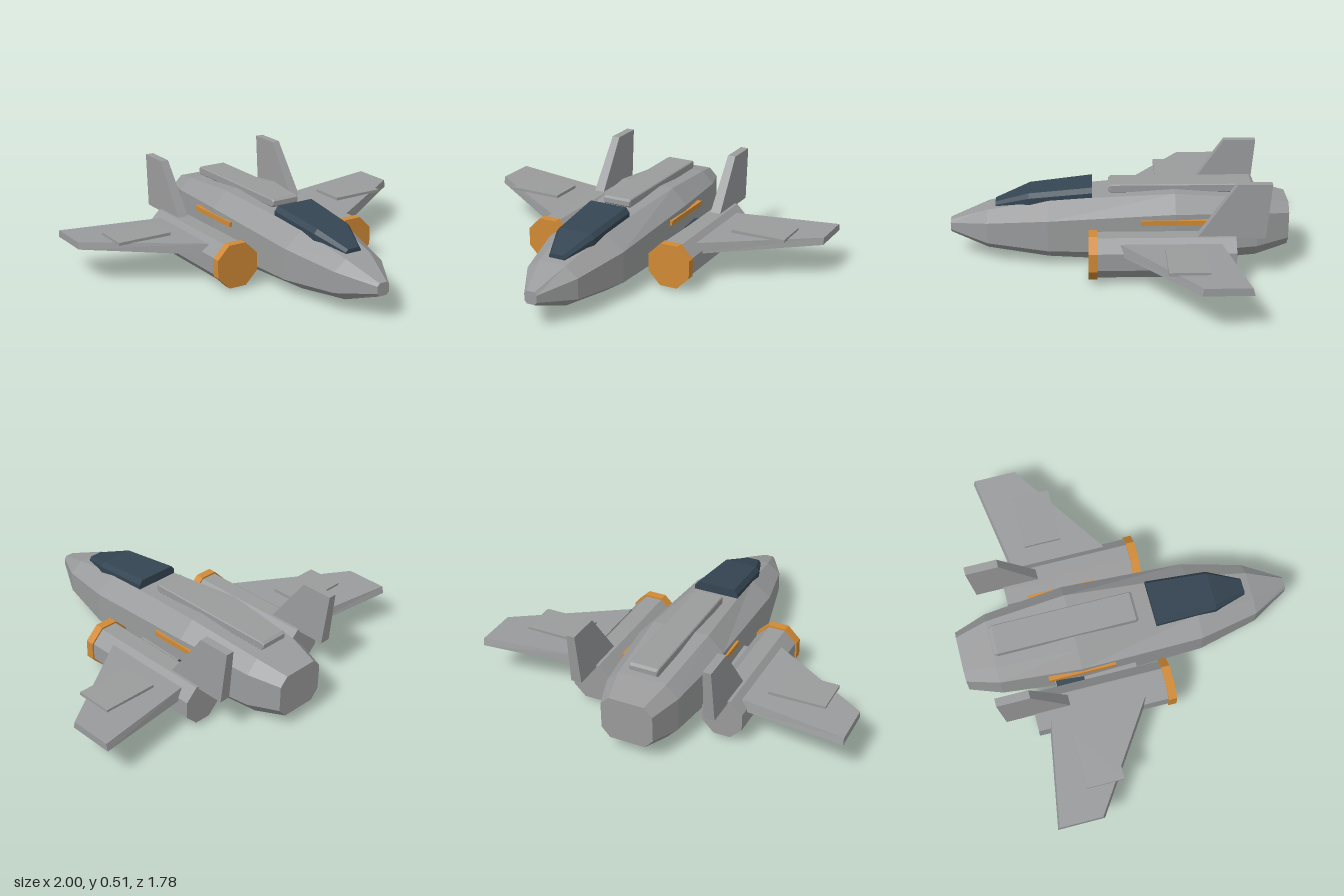
import * as THREE from 'three';

const mat = (name, color) => {
  const m = new THREE.MeshStandardMaterial({ color });
  m.name = name;
  return m;
};

// Flat-shaded skin over rings of [x, y, z]; rings run counter-clockwise seen from outside the first one
function loft(rings) {
  const pos = [];
  const tri = (a, b, c) => pos.push(...a, ...b, ...c);
  const n = rings[0].length;
  for (let r = 0; r < rings.length - 1; r++) {
    const A = rings[r], B = rings[r + 1];
    for (let i = 0; i < n; i++) {
      const j = (i + 1) % n;
      tri(A[i], B[i], B[j]);
      tri(A[i], B[j], A[j]);
    }
  }
  const first = rings[0], last = rings[rings.length - 1];
  for (let i = 1; i < n - 1; i++) {
    tri(first[0], first[i], first[i + 1]);
    tri(last[0], last[i + 1], last[i]);
  }
  const g = new THREE.BufferGeometry();
  g.setAttribute('position', new THREE.Float32BufferAttribute(pos, 3));
  g.computeVertexNormals();
  return g;
}

// Chamfered section: half width w, flat half width t, heights from bottom to top
const section = ([z, w, t, y0, y1, y2, y3]) => [
  [t, y0, z], [w, y1, z], [w, y2, z], [t, y3, z],
  [-t, y3, z], [-w, y2, z], [-w, y1, z], [-t, y0, z],
];

// Mirror a ring to the given side, keeping its winding
const onSide = (s, ring) => (s > 0 ? ring : ring.map(([x, y, z]) => [-x, y, z]).reverse());

export function createModel() {
  const model = new THREE.Group();
  const hull = mat('hullGrey', 0x9a9b9c);
  const orange = mat('orangeTrim', 0xd08a36);
  const glass = mat('canopyGlass', 0x344552);

  const add = (name, geometry, material, x = 0, y = 0, z = 0) => {
    const mesh = new THREE.Mesh(geometry, material);
    mesh.name = name;
    mesh.position.set(x, y, z);
    model.add(mesh);
    return mesh;
  };
  const box = (name, material, w, h, d, x, y, z) =>
    add(name, new THREE.BoxGeometry(w, h, d), material, x, y, z);
  // Octagonal barrel along z with flat top and sides
  const barrel = (name, material, apothem, z0, z1, x, y) => {
    const r = apothem / Math.cos(Math.PI / 8);
    const g = new THREE.CylinderGeometry(r, r, z1 - z0, 8).rotateY(Math.PI / 8).rotateX(Math.PI / 2);
    const flat = g.toNonIndexed();
    flat.computeVertexNormals();
    add(name, flat, material, x, y, (z0 + z1) / 2);
  };

  // Fuselage
  add('fuselage', loft([
    [0.89, 0.035, 0.022, 0.13, 0.145, 0.182, 0.197],
    [0.69, 0.145, 0.075, 0.06, 0.108, 0.218, 0.27],
    [0.37, 0.218, 0.11, 0.02, 0.09, 0.255, 0.335],
    [-0.29, 0.237, 0.155, 0.0, 0.08, 0.295, 0.38],
    [-0.72, 0.195, 0.13, 0.03, 0.1, 0.28, 0.345],
    [-0.89, 0.14, 0.095, 0.075, 0.125, 0.265, 0.31],
  ].map(section)), hull);

  // Canopy
  add('canopy', loft([
    [0.65, 0.045, 0.033, 0.24, 0.26, 0.285, 0.3],
    [0.47, 0.11, 0.09, 0.27, 0.3, 0.342, 0.365],
    [0.14, 0.125, 0.105, 0.32, 0.335, 0.375, 0.4],
  ].map(section)), glass);

  // Raised spine with softened ends
  add('spine', loft([
    [0.055, 0.075, 0.07, 0.37, 0.375, 0.39, 0.395],
    [0.042, 0.08, 0.075, 0.36, 0.365, 0.4, 0.405],
    [-0.695, 0.08, 0.075, 0.36, 0.365, 0.4, 0.405],
    [-0.71, 0.075, 0.07, 0.37, 0.375, 0.39, 0.395],
  ].map(section)), hull);

  for (const s of [1, -1]) {
    const side = s > 0 ? 'left' : 'right';

    // Engine, intake and the pylon joining it to the fuselage
    barrel(side + 'Nacelle', hull, 0.107, -0.585, 0.12, s * 0.365, 0.132);
    barrel(side + 'Intake', orange, 0.116, 0.115, 0.16, s * 0.365, 0.132);
    box(side + 'Pylon', hull, 0.08, 0.05, 0.44, s * 0.25, 0.14, -0.22);
    box(side + 'PylonVent', glass, 0.06, 0.008, 0.15, s * 0.25, 0.168, -0.36);
    box(side + 'SideStripe', orange, 0.025, 0.026, 0.36, s * 0.234, 0.252, -0.29);

    // Swept wing, tip to root
    const rib = (x, y0, y1, zb, zf) => onSide(s, [
      [x, y0, zb], [x, y1, zb + 0.01], [x, y1, zf - 0.008], [x, y0, zf],
    ]);
    add(side + 'Wing', loft([
      rib(1, 0.188, 0.226, -0.61, -0.365),
      rib(0.44, 0.158, 0.216, -0.52, 0.005),
    ]), hull);
    box(side + 'WingPanel', hull, 0.3, 0.016, 0.2, s * 0.69, 0.227, -0.32);

    // Tail fin, top to base
    const slice = (y, h, zb, zf) => [
      [-h, y, zb], [-h, y, zf], [h, y, zf], [h, y, zb],
    ];
    add(side + 'Fin', loft([
      slice(0.51, 0.022, -0.762, -0.588),
      slice(0.225, 0.029, -0.735, -0.385),
    ]), hull, s * 0.365);
  }
  return model;
}
